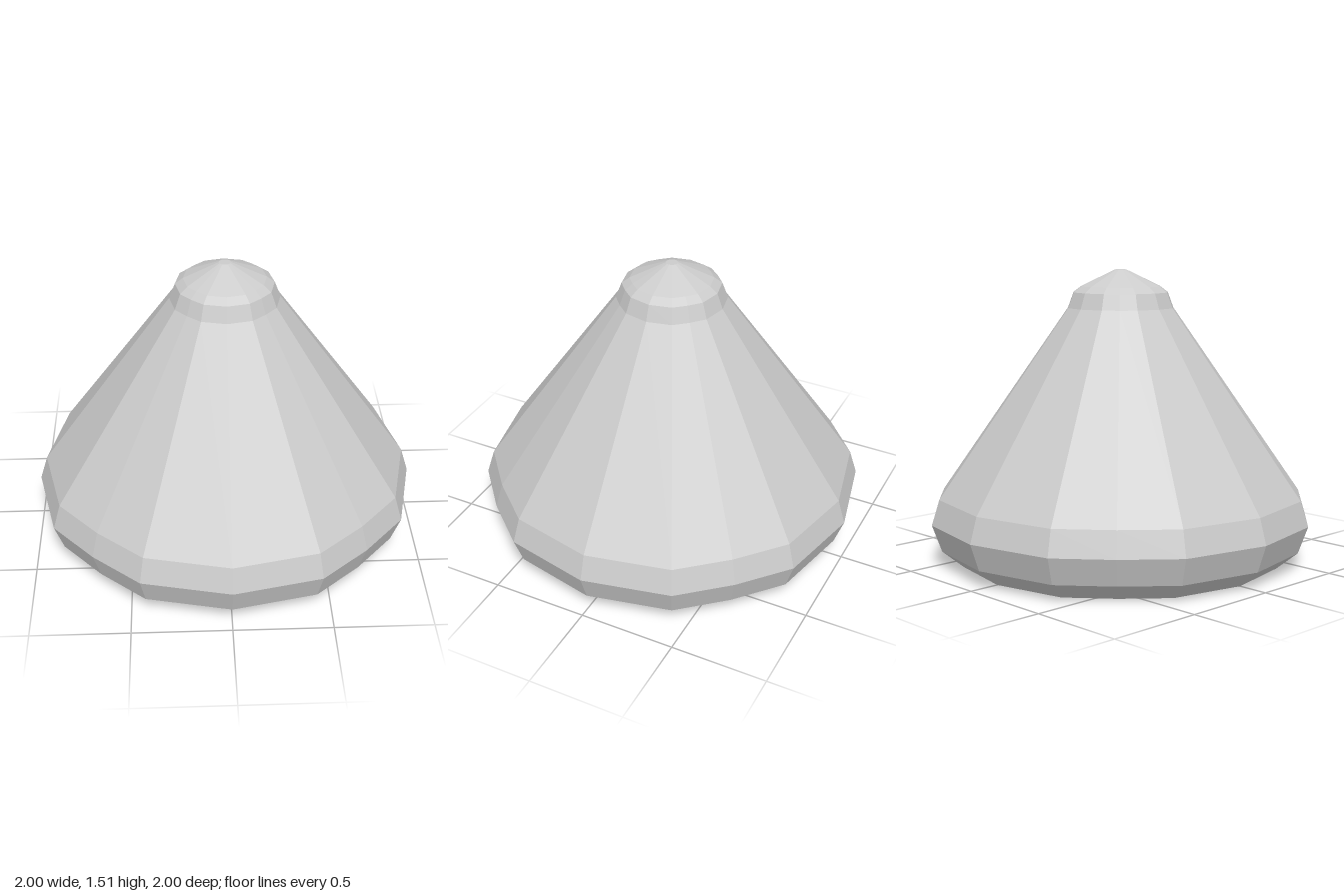
import * as THREE from 'three';

// Radius and height of each ring, from the base centre up to the tip.
const PROFILE = [
  [0, 0], [0.84, 0], [0.95, 0.09], [1, 0.23], [0.96, 0.36],
  [0.28, 1.32], [0.25, 1.4], [0.21, 1.43], [0.03, 1.515], [0, 1.515],
];

// Corners of one quarter of the uneven sixteen-sided outline, as [sin, cos] directions.
const QUARTER = [[0, 1], [0.45, 0.9], [0.69, 0.69], [0.9, 0.45]];

function outline(i) {
  let [x, z] = QUARTER[i % 4];
  for (let turn = 0; turn < Math.floor((i % 16) / 4); turn++) [x, z] = [z, -x];
  return [x, z];
}

export function createModel() {
  const group = new THREE.Group();
  group.name = 'roundedCone';

  const points = PROFILE.map(([r, y]) => new THREE.Vector2(r, y));
  const geometry = new THREE.LatheGeometry(points, 16);

  // Move every lathe column onto its corner of the uneven outline.
  const position = geometry.attributes.position;
  for (let i = 0; i <= 16; i++) {
    const [x, z] = outline(i);
    PROFILE.forEach(([r, y], j) => {
      position.setXYZ(i * PROFILE.length + j, r * x, y, r * z);
    });
  }
  geometry.computeVertexNormals();

  const material = new THREE.MeshStandardMaterial({ color: 0xcccccc, flatShading: true });
  const body = new THREE.Mesh(geometry, material);
  body.name = 'coneBody';
  group.add(body);
  return group;
}
